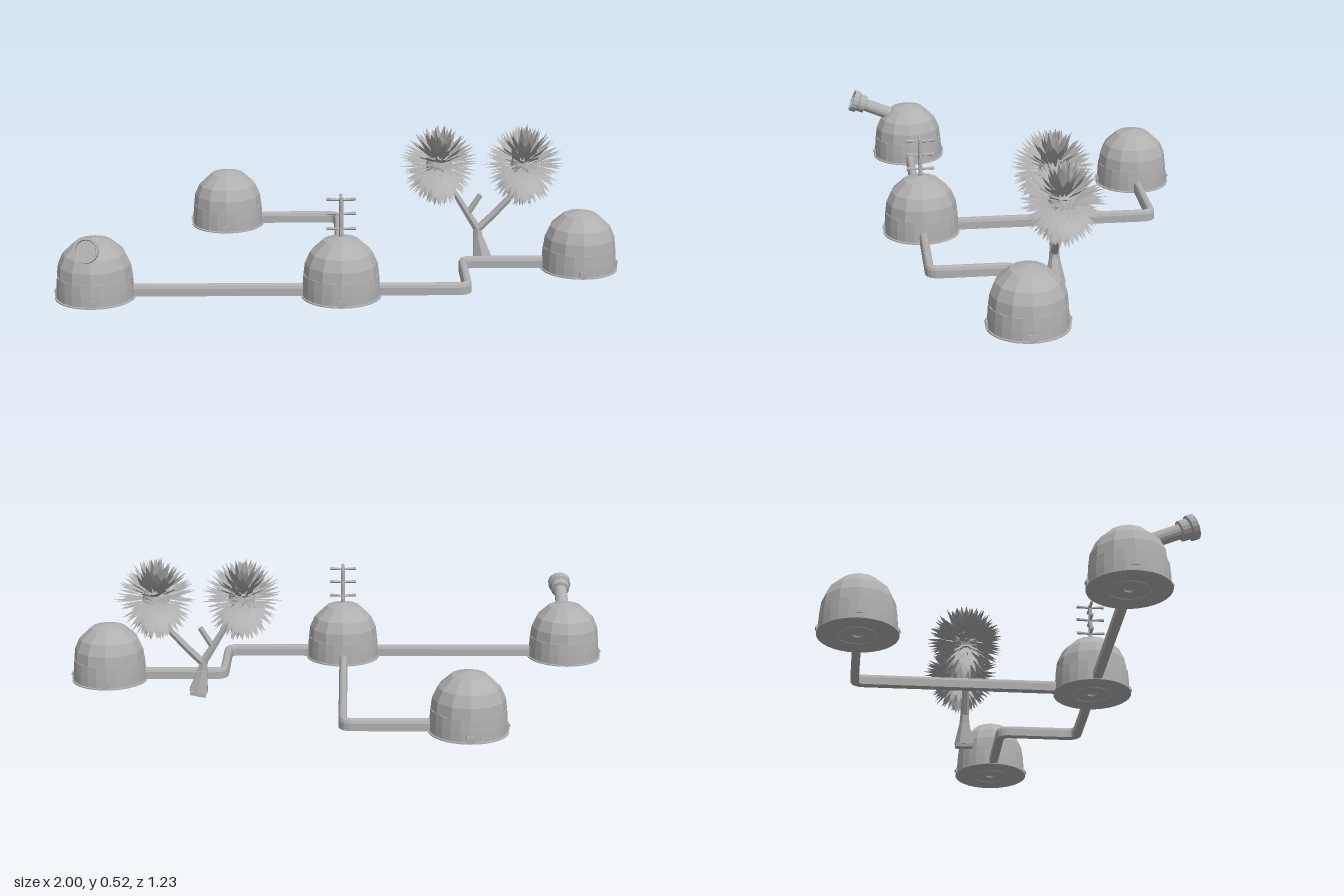
import * as THREE from 'three';

const grey = new THREE.MeshStandardMaterial({ color: 0xb0b0b0, flatShading: true, side: THREE.DoubleSide });
grey.name = 'plain grey';

const V = (x, y, z) => new THREE.Vector3(x, y, z);

function add(parent, name, geometry, x = 0, y = 0, z = 0) {
  const mesh = new THREE.Mesh(geometry, grey);
  mesh.name = name;
  mesh.position.set(x, y, z);
  parent.add(mesh);
  return mesh;
}

function lathe(points, sides) {
  return new THREE.LatheGeometry(points.map(([r, y]) => new THREE.Vector2(r, y)), sides);
}

// Tapered limb between two points
function limb(parent, name, a, b, ra, rb, sides) {
  const dir = b.clone().sub(a);
  const mesh = add(parent, name, new THREE.CylinderGeometry(rb, ra, dir.length(), sides));
  mesh.position.copy(a).add(b).multiplyScalar(0.5);
  mesh.quaternion.setFromUnitVectors(V(0, 1, 0), dir.normalize());
  return mesh;
}

// Domed habitat with skirt, wall, faceted roof and four small vents
function habitat(name, x, z) {
  const g = new THREE.Group();
  g.name = name;
  g.position.set(x, 0, z);
  add(g, 'baseRim', lathe([[0, 0.026], [0.016, 0.026], [0.018, 0.02], [0.062, 0.02], [0.064, 0.023],
    [0.07, 0.023], [0.072, 0.02], [0.14, 0.02], [0.14, 0.024], [0.13, 0.026]], 32));
  add(g, 'wall', lathe([[0.135, 0.022], [0.134, 0.06], [0.131, 0.102], [0.122, 0.102]], 24));
  add(g, 'domeRoof', lathe([[0.131, 0.1], [0.126, 0.14], [0.108, 0.18], [0.062, 0.222], [0, 0.236]], 12));
  for (let i = 0; i < 4; i++) {
    const a = i * Math.PI / 2;
    const vent = add(g, 'vent', new THREE.BoxGeometry(0.028, 0.024, 0.016),
      Math.sin(a) * 0.131, 0.036, Math.cos(a) * 0.131);
    vent.rotation.y = a;
    const slot = add(g, 'ventSill', new THREE.BoxGeometry(0.022, 0.004, 0.006),
      Math.sin(a) * 0.14, 0.04, Math.cos(a) * 0.14);
    slot.rotation.y = a;
  }
  return g;
}

// Round-topped corridor swept along a floor path with rounded corners
function corridor(parent, name, corners) {
  const path = [], pos = [], index = [];
  corners.forEach(([x, z], i) => {
    const p = V(x, 0, z);
    if (i === 0 || i === corners.length - 1) { path.push(p); return; }
    const toward = ([cx, cz]) => p.clone().add(V(cx, 0, cz).sub(p).setLength(0.035));
    const curve = new THREE.QuadraticBezierCurve3(toward(corners[i - 1]), p, toward(corners[i + 1]));
    path.push(...curve.getPoints(5));
  });
  const section = [[-0.015, 0.023], [-0.015, 0.05], [-0.011, 0.06], [-0.004, 0.064], [0.004, 0.064],
    [0.011, 0.06], [0.015, 0.05], [0.015, 0.023]];
  const n = section.length;
  path.forEach((p, i) => {
    const before = path[Math.max(i - 1, 0)], after = path[Math.min(i + 1, path.length - 1)];
    const d = after.clone().sub(before).normalize();
    for (const [u, y] of section) pos.push(p.x - d.z * u, y, p.z + d.x * u);
    if (i === path.length - 1) return;
    for (let j = 0; j < n; j++) {
      const a = i * n + j, b = i * n + (j + 1) % n;
      index.push(a, b, a + n, b, b + n, a + n);
    }
  });
  const geo = new THREE.BufferGeometry();
  geo.setAttribute('position', new THREE.Float32BufferAttribute(pos, 3));
  geo.setIndex(index);
  geo.computeVertexNormals();
  add(parent, name, geo);
}

// Ball of pointed leaves radiating from a small core
function crown(parent, name, center, seed) {
  const rand = () => (seed = (seed * 16807) % 2147483647) / 2147483647;
  const pos = [];
  const layers = 13;
  for (let k = 0; k < layers; k++) {
    const el = THREE.MathUtils.degToRad(-80 + 160 * k / (layers - 1));
    const count = Math.round(24 * Math.cos(el)) + 4;
    for (let i = 0; i < count; i++) {
      const az = (i + (k % 2) / 2 + (rand() - 0.5) * 0.5) / count * Math.PI * 2;
      const e = el + (rand() - 0.5) * 0.15;
      const flat = Math.cos(e) * (e < 0 ? 0.9 : 1);
      const d = V(Math.cos(az) * flat, Math.sin(e), Math.sin(az) * flat);
      const t = V(-Math.sin(az), 0, Math.cos(az));
      const len = 0.14 + rand() * 0.014;
      const w = 0.012 + rand() * 0.004;
      const root = d.clone().multiplyScalar(0.04);
      const mid = d.clone().multiplyScalar(0.1);
      const tip = d.clone().multiplyScalar(len).add(V(0, -0.006 * flat, 0));
      const l = mid.clone().addScaledVector(t, w).add(V(0, -0.003, 0));
      const r = mid.clone().addScaledVector(t, -w).add(V(0, -0.003, 0));
      for (const p of [root, l, tip, root, tip, r]) pos.push(p.x, p.y, p.z);
    }
  }
  const geo = new THREE.BufferGeometry();
  geo.setAttribute('position', new THREE.Float32BufferAttribute(pos, 3));
  geo.computeVertexNormals();
  add(parent, name, geo, center.x, center.y, center.z);
  add(parent, name + 'Core', new THREE.IcosahedronGeometry(0.05, 1), center.x, center.y, center.z);
}

export function createModel() {
  const model = new THREE.Group();
  model.name = 'domeOutpost';

  const observatory = habitat('observatoryDome', -0.86, 0.38);
  const hub = habitat('hubDome', -0.008, 0.38);
  model.add(observatory, hub, habitat('rearDome', -0.44, -0.472), habitat('eastDome', 0.857, 0.09));

  // Connecting corridors
  corridor(model, 'westCorridor', [[-0.78, 0.38], [-0.08, 0.38]]);
  corridor(model, 'rearCorridor', [[-0.01, 0.3], [-0.01, -0.474], [-0.36, -0.474]]);
  corridor(model, 'eastCorridor', [[0.07, 0.38], [0.433, 0.38], [0.433, 0.09], [0.78, 0.09]]);

  // Telescope leaning out of the observatory roof
  const scope = add(observatory, 'telescope', lathe([[0, 0], [0.025, 0], [0.025, 0.165], [0.035, 0.168],
    [0.035, 0.195], [0.043, 0.2], [0.043, 0.222], [0.036, 0.222], [0.034, 0.214], [0, 0.214]], 16), 0, 0.174, 0.016);
  scope.rotation.x = Math.PI / 2 - THREE.MathUtils.degToRad(22.5);

  // Antenna mast with three crossed tiers
  add(hub, 'mast', new THREE.CylinderGeometry(0.007, 0.007, 0.145, 8), 0, 0.3, 0);
  for (const y of [0.26, 0.314, 0.365]) {
    for (let i = 0; i < 4; i++) {
      const a = i * Math.PI / 2;
      limb(hub, 'antennaArm', V(0, y, 0), V(Math.cos(a) * 0.05, y + 0.003, Math.sin(a) * 0.05), 0.004, 0.006, 6);
    }
  }

  // Forked tree
  const tree = new THREE.Group();
  tree.name = 'tree';
  model.add(tree);
  const z = -0.042;
  const foot = add(tree, 'trunkFoot', new THREE.BoxGeometry(0.058, 0.014, 0.066), 0.518, 0.013, z);
  foot.rotation.z = 0.2;
  limb(tree, 'trunkFlare', V(0.518, 0.018, z), V(0.5, 0.105, z), 0.038, 0.018, 6);
  const fork = V(0.497, 0.13, z), elbow = V(0.462, 0.185, z);
  limb(tree, 'trunk', V(0.501, 0.1, z), fork, 0.019, 0.017, 6);
  limb(tree, 'leftFork', fork, elbow, 0.016, 0.014, 6);
  limb(tree, 'leftBranch', elbow, V(0.425, 0.245, z), 0.014, 0.012, 6);
  limb(tree, 'leftBranchTop', V(0.425, 0.245, z), V(0.36, 0.35, z), 0.012, 0.01, 6);
  limb(tree, 'stubBranch', elbow, V(0.507, 0.257, z), 0.012, 0.01, 6);
  limb(tree, 'rightFork', V(0.495, 0.12, z), V(0.56, 0.185, z), 0.015, 0.013, 6);
  limb(tree, 'rightBranch', V(0.56, 0.185, z), V(0.615, 0.245, z), 0.013, 0.012, 6);
  limb(tree, 'rightBranchTop', V(0.615, 0.245, z), V(0.66, 0.35, z), 0.012, 0.01, 6);
  crown(tree, 'leftCrown', V(0.354, 0.367, -0.052), 17);
  crown(tree, 'rightCrown', V(0.663, 0.367, -0.046), 91);

  return model;
}
